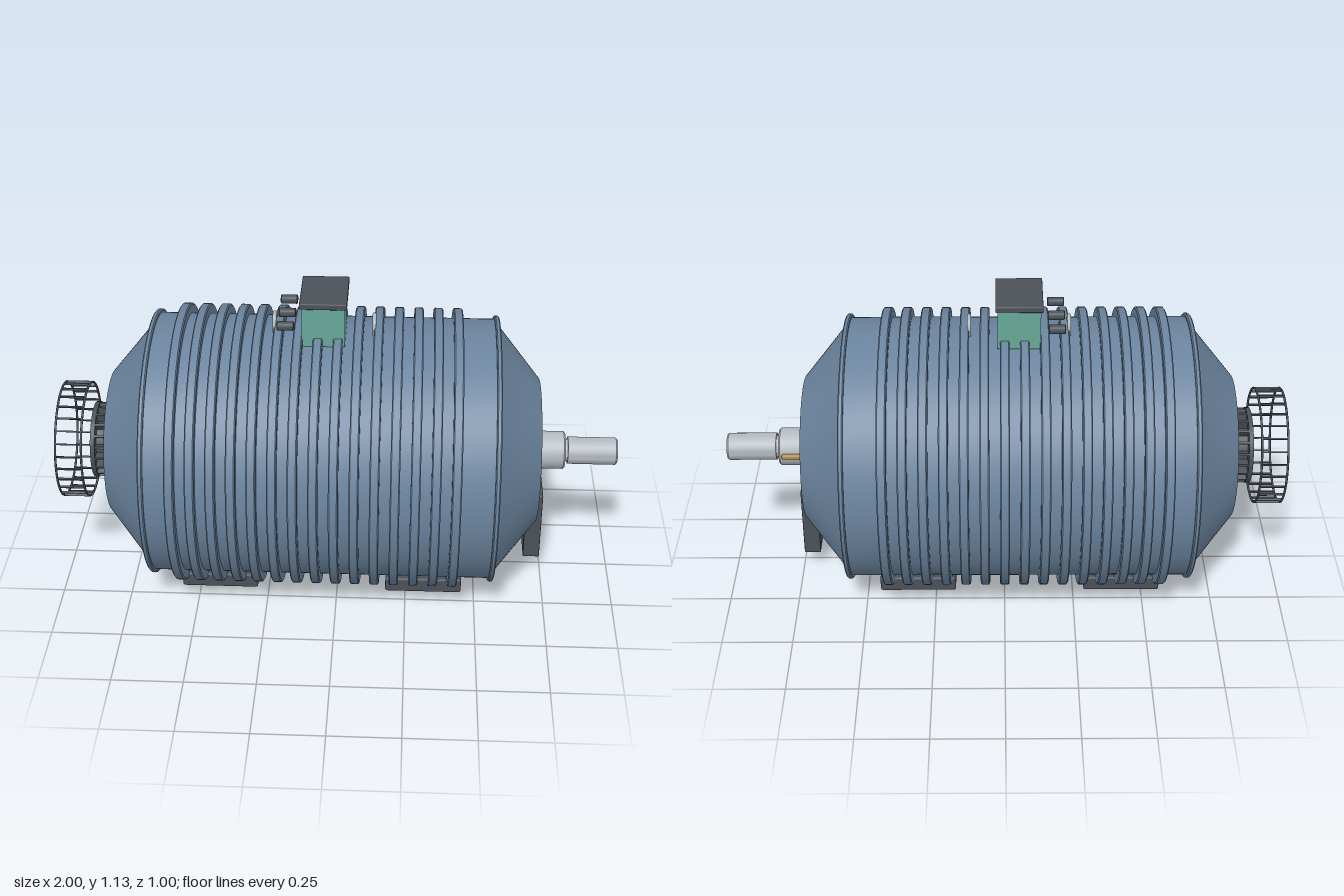
import * as THREE from 'three';
import { toCreasedNormals } from 'three/addons/utils/BufferGeometryUtils.js';
import { RoundedBoxGeometry } from 'three/addons/geometries/RoundedBoxGeometry.js';

const AXIS_Y = 0.503;
const paint = (color) => new THREE.MeshStandardMaterial({ color });

export function createModel() {
  const model = new THREE.Group();
  const blue = paint(0x6b849e), dark = paint(0x4b5158), teal = paint(0x66a898);
  const steel = paint(0xb4bac0), brass = paint(0xb08a50);

  const add = (name, geometry, material, x = 0, y = 0, z = 0, parent = model) => {
    const mesh = new THREE.Mesh(geometry, material);
    mesh.name = name;
    mesh.position.set(x, y, z);
    parent.add(mesh);
    return mesh;
  };
  // Solid of revolution about the x axis; profile is [x, radius] from -x to +x
  const turned = (profile, segments = 72) => {
    const points = profile.map(([x, r]) => new THREE.Vector2(r, x));
    return toCreasedNormals(new THREE.LatheGeometry(points, segments).rotateZ(-Math.PI / 2), 0.5);
  };
  const hoop = (radius, tube, segments = 72) =>
    new THREE.TorusGeometry(radius, tube, 10, segments).rotateY(Math.PI / 2);
  const box = (w, h, d, r = 0.006) => new RoundedBoxGeometry(w, h, d, 2, r);

  // Finned housing with conical end bells
  const profile = [[-0.815, 0], [-0.815, 0.258], [-0.66, 0.447], [-0.65, 0.467]];
  for (let i = 0; i < 15; i++) {
    const x = -0.555 + i * 0.0693, w = 0.0165;
    profile.push([x - w, 0.467], [x - w, 0.497], [x - w + 0.004, 0.502],
      [x + w - 0.004, 0.502], [x + w, 0.497], [x + w, 0.467]);
  }
  profile.push([0.55, 0.467], [0.56, 0.447], [0.712, 0.258], [0.712, 0]);
  add('finnedHousing', turned(profile, 96), blue, 0, AXIS_Y);
  for (const x of [-0.655, 0.553]) {
    add('endRing', turned([[-0.009, 0.44], [-0.009, 0.474], [-0.005, 0.479],
      [0.005, 0.479], [0.009, 0.474], [0.009, 0.44]], 96), blue, x, AXIS_Y);
  }

  // Stepped drive shaft with key
  add('shaft', turned([[0.7, 0], [0.7, 0.068], [0.806, 0.068], [0.812, 0.062], [0.812, 0.04],
    [0.822, 0.04], [0.822, 0.049], [0.994, 0.049], [1, 0.044], [1, 0]], 40), steel, 0, AXIS_Y);
  add('shaftKey', box(0.085, 0.02, 0.022, 0.008), brass, 0.757, AXIS_Y, -0.069);

  // Plate on the drive end
  add('endPlate', box(0.06, 0.27, 0.134, 0.004), dark, 0.713, 0.21);

  // Slotted hub on the rear end
  const hub = new THREE.Group();
  hub.name = 'rearHub';
  hub.position.set(-0.85, AXIS_Y, 0);
  model.add(hub);
  add('hubDrum', turned([[-0.03, 0], [-0.03, 0.1], [0.036, 0.1]], 40), dark, 0, 0, 0, hub);
  for (const x of [-0.0275, 0.0275]) {
    add('hubFlange', turned([[-0.008, 0], [-0.008, 0.137], [0.008, 0.137], [0.008, 0]], 48), dark, x, 0, 0, hub);
  }

  // Open fan cage: two hoops joined by slats
  const cage = new THREE.Group();
  cage.name = 'fanCage';
  cage.position.set(-0.95, AXIS_Y, 0);
  model.add(cage);
  for (const x of [-0.046, 0.046]) {
    add('cageHoop', hoop(0.207, 0.004), dark, x, 0, 0, cage);
  }
  const addRing = (name, count, radius, geometry, parent) => {
    for (let i = 0; i < count; i++) {
      const a = (i / count) * Math.PI * 2;
      const bar = add(name, geometry, dark, 0, Math.cos(a) * radius, Math.sin(a) * radius, parent);
      bar.rotation.x = a;
    }
  };
  addRing('cageSlat', 28, 0.207, new THREE.BoxGeometry(0.096, 0.008, 0.005), cage);
  addRing('hubRib', 20, 0.117, new THREE.BoxGeometry(0.055, 0.036, 0.009), hub);

  // Mounting feet
  for (const x of [-0.425, 0.315]) {
    for (const side of [-1, 1]) {
      add('foot', box(0.275, 0.057, 0.145, 0.008), dark, x, 0.052, side * 0.162);
    }
  }

  // Terminal box, lid and cable glands
  add('terminalBox', new THREE.BoxGeometry(0.148, 0.145, 0.204), teal, -0.051, 1.035);
  add('terminalLid', box(0.163, 0.022, 0.218, 0.004), dark, -0.051, 1.117);
  for (const z of [-0.1, 0, 0.1]) {
    add('cableGland', turned([[-0.03, 0], [-0.03, 0.013], [-0.027, 0.016],
      [0.027, 0.016], [0.03, 0.013], [0.03, 0]], 24), dark, -0.18, 1.039, z);
  }

  // Lifting eyes
  for (const x of [-0.224, 0.122]) {
    add('liftingEye', hoop(0.034, 0.007, 32), steel, x, 1.0);
  }
  return model;
}
